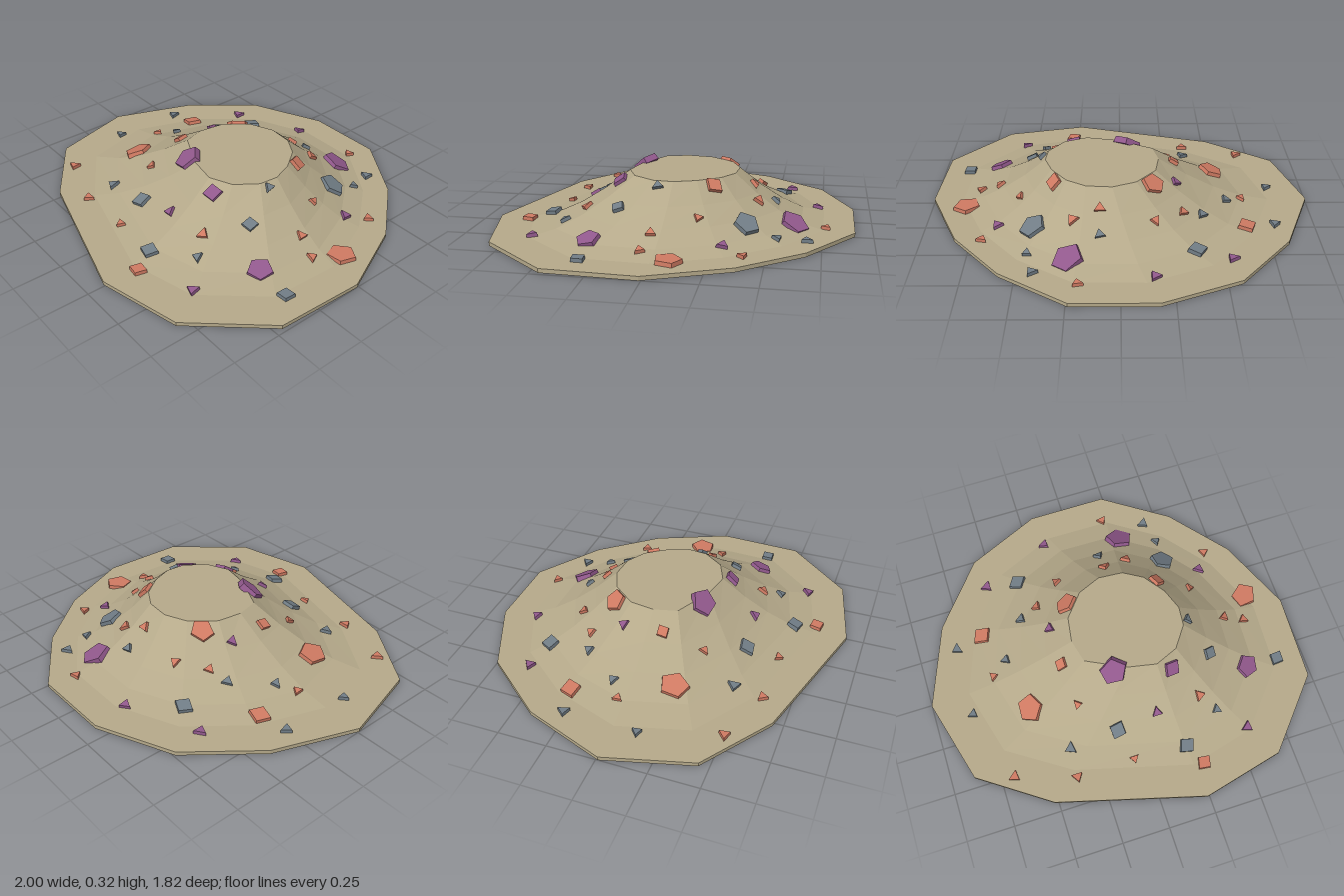
import * as THREE from 'three';

const material = (name, color) => {
  const m = new THREE.MeshStandardMaterial({ color, flatShading: true });
  m.name = name;
  return m;
};

// Outline of the ground slab and of the flat summit, matched point by point: [x, z]
const OUTLINE = [[-0.18, -0.91], [0.24, -0.91], [0.58, -0.68], [0.83, -0.38], [1, 0.01], [0.98, 0.46], [0.67, 0.81],
  [0.24, 0.91], [-0.52, 0.7], [-0.88, 0.45], [-1, 0.01], [-0.84, -0.41], [-0.57, -0.74]];
const RIM = [[0.04, -0.32], [0.17, -0.31], [0.27, -0.25], [0.35, -0.14], [0.39, -0.03], [0.38, 0.07], [0.3, 0.18],
  [0.18, 0.23], [0.03, 0.2], [-0.17, 0.1], [-0.2, -0.02], [-0.18, -0.15], [-0.08, -0.27]];
const SLAB = 0.02, TOP = 0.28, FOOT = 0.74;

// Point on the hill: t = 0 at the summit rim, 1 at the foot, with a concave fall
function hillPoint(i, t) {
  const n = i % RIM.length, [rx, rz] = RIM[n], [ox, oz] = OUTLINE[n];
  const k = t * FOOT;
  return [rx + (ox - rx) * k, SLAB + (TOP - SLAB) * Math.pow(1 - t, 1.6), rz + (oz - rz) * k];
}

function facets(points) {
  const g = new THREE.BufferGeometry();
  g.setAttribute('position', new THREE.Float32BufferAttribute(points.flat(), 3));
  g.computeVertexNormals();
  return g;
}

function slopeGeometry(bands) {
  const p = [];
  for (let b = 0; b < bands; b++) {
    for (let i = 0; i < RIM.length; i++) {
      const a = hillPoint(i, b / bands), c = hillPoint(i + 1, b / bands);
      const d = hillPoint(i, (b + 1) / bands), e = hillPoint(i + 1, (b + 1) / bands);
      p.push(a, e, d, a, c, e);
    }
  }
  return facets(p);
}

function summitGeometry() {
  const p = [];
  RIM.forEach((_, i) => p.push([0.1, TOP, -0.04], hillPoint(i + 1, 0), hillPoint(i, 0)));
  return facets(p);
}

function slabGeometry() {
  const shape = new THREE.Shape(OUTLINE.map(([x, z]) => new THREE.Vector2(x, -z)));
  return new THREE.ExtrudeGeometry(shape, { depth: SLAB, bevelEnabled: false }).rotateX(-Math.PI / 2);
}

// Chips: [x, z, sides, radius, turn], turn 0 points a corner to the front
const ORANGE = [
  [0.2, -0.77, 3, 0.03, 0.2], [-0.17, -0.42, 3, 0.03, 1.6], [-0.31, -0.32, 3, 0.03, 0.5], [0.1, -0.4, 3, 0.033, 0],
  [0.23, -0.43, 3, 0.034, 0.5], [0.69, -0.4, 3, 0.03, -0.2], [-0.64, -0.29, 4, 0.055, 0.5],
  [-0.16, -0.24, 5, 0.062, 0.3], [0.33, -0.22, 4, 0.048, 1.2], [0.51, -0.17, 3, 0.026, 1.5],
  [0.81, -0.08, 5, 0.073, 0.7], [0.64, 0.03, 3, 0.03, 0.6], [0.75, 0.06, 3, 0.03, 3],
  [-0.64, -0.04, 3, 0.028, 1.6], [-0.28, 0.06, 4, 0.038, 0.8]];
const ORANGE_FRONT = [
  [-0.5, 0.2, 5, 0.075, 1.5], [-0.26, 0.27, 3, 0.028, 1.5], [-0.68, 0.51, 3, 0.034, 0.7], [-0.37, 0.61, 3, 0.033, 0],
  [-0.06, 0.61, 3, 0.028, 0], [0.36, 0.41, 3, 0.034, 1.6], [0.28, 0.74, 4, 0.044, 0.6]];
const PURPLE = [
  [-0.16, -0.72, 3, 0.033, 0.6], [-0.54, -0.57, 3, 0.035, 0.6], [0.25, -0.61, 5, 0.08, 0.6],
  [0.62, -0.3, 3, 0.034, 2.6], [-0.28, -0.15, 3, 0.032, 2.8], [-0.04, 0.19, 5, 0.075, 0.5],
  [0.25, 0.26, 4, 0.05, 0.8], [0.67, 0.32, 5, 0.064, 0.9], [0.12, 0.43, 3, 0.032, 1], [0.56, 0.63, 3, 0.034, 0.7]];
const SLATE = [
  [-0.37, -0.53, 4, 0.05, 0.3], [0.42, -0.68, 3, 0.034, 0.6], [0.45, -0.54, 3, 0.028, 2], [0.1, -0.51, 3, 0.03, 0.2],
  [0.43, -0.39, 5, 0.07, 0.4], [-0.79, -0.26, 3, 0.034, -1.3], [-0.41, -0.29, 3, 0.032, 0.6],
  [-0.55, -0.1, 3, 0.03, 2.6], [-0.8, 0.12, 3, 0.03, 0.7], [0.41, 0.04, 3, 0.03, -1.4], [0.48, 0.22, 4, 0.04, 0.9],
  [0.85, 0.32, 4, 0.042, 0.8], [-0.36, 0.46, 3, 0.037, -1.4], [-0.1, 0.45, 4, 0.05, 0.9],
  [0.43, 0.5, 3, 0.03, -1.2], [0.22, 0.63, 4, 0.048, 0.5]];

export function createModel() {
  const model = new THREE.Group();
  model.name = 'rubbleMound';
  const earth = material('earth', 0xb5a98a);
  const add = (name, geometry, mat, parent = model) => {
    const mesh = new THREE.Mesh(geometry, mat);
    mesh.name = name;
    parent.add(mesh);
    return mesh;
  };

  const slab = add('groundSlab', slabGeometry(), earth);
  const slope = add('moundSlope', slopeGeometry(4), earth);
  add('moundSummit', summitGeometry(), earth);

  // Each chip is dropped onto the ground and lies along the facet it lands on
  const ray = new THREE.Raycaster();
  const up = new THREE.Vector3(0, 1, 0), down = new THREE.Vector3(0, -1, 0);
  const scatter = (name, chips, mat) => {
    const group = new THREE.Group();
    group.name = name + 's';
    model.add(group);
    chips.forEach(([x, z, sides, r, turn]) => {
      ray.set(new THREE.Vector3(x, 1, z), down);
      const hit = ray.intersectObjects([slope, slab])[0];
      if (!hit) return;
      const geometry = new THREE.CylinderGeometry(r * 0.94, r, 0.024 + r * 0.15, sides);
      geometry.scale(1.06, 1, 0.94).rotateY(turn);
      const chip = add(name, geometry, mat, group);
      chip.quaternion.setFromUnitVectors(up, hit.face.normal);
      chip.position.copy(hit.point).addScaledVector(hit.face.normal, 0.003);
    });
  };
  scatter('orangeChip', [...ORANGE, ...ORANGE_FRONT], material('orange', 0xcf7a62));
  scatter('purpleChip', PURPLE, material('purple', 0x91588c));
  scatter('slateChip', SLATE, material('slate', 0x717d86));

  return model;
}
